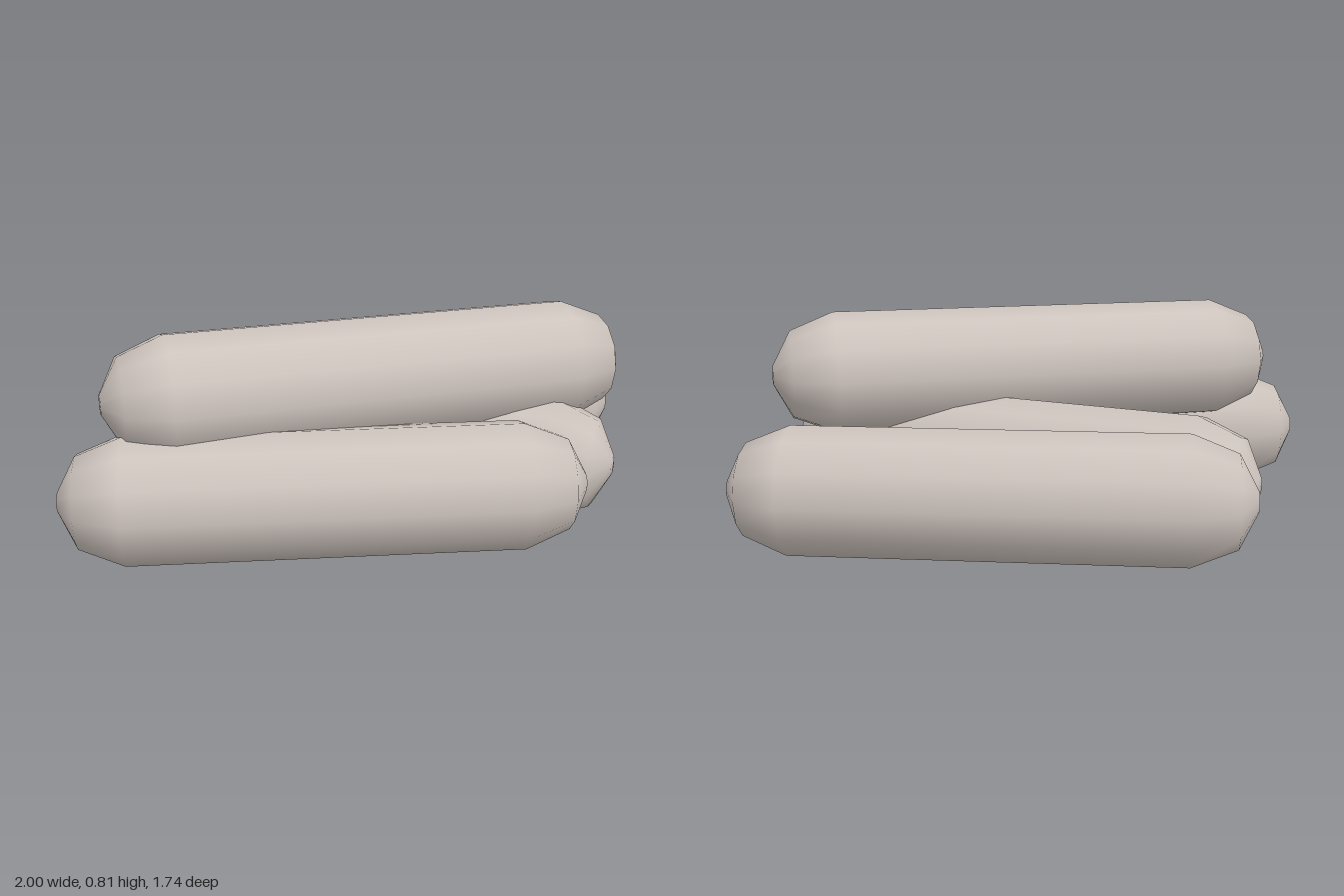
import * as THREE from 'three';

const RADIUS = 0.238;

// Rounded log lying along x: half profile turned in 12 sides
function logGeometry(length) {
  const rings = [0, 9, 46, 90]; // cap latitudes, in degrees from the pole
  const cap = rings.map((deg) => {
    const a = THREE.MathUtils.degToRad(deg);
    return new THREE.Vector2(RADIUS * Math.sin(a), -length / 2 - RADIUS * Math.cos(a));
  });
  const mirrored = cap.map((p) => new THREE.Vector2(p.x, -p.y)).reverse();
  return new THREE.LatheGeometry([...cap, ...mirrored], 12).rotateZ(-Math.PI / 2);
}

export function createModel() {
  const group = new THREE.Group();
  group.name = 'logPile';
  const paleGrey = new THREE.MeshStandardMaterial({ color: 0xcdc3bd });
  paleGrey.name = 'paleWarmGrey';

  // Cap centres of each log: x and z at both ends, and the height of the axis
  const logs = [
    { name: 'backLog', from: [-0.645, -0.5], to: [0.76, -0.635], y: 0.24 },
    { name: 'middleLog', from: [-0.65, -0.283], to: [0.75, 0.05], y: 0.255 },
    { name: 'frontLog', from: [-0.765, 0.636], to: [0.638, 0.32], y: 0.252 },
    { name: 'topLog', from: [-0.645, 0.46], to: [0.76, -0.168], y: 0.578 },
  ];

  for (const { name, from, to, y } of logs) {
    const dx = to[0] - from[0];
    const dz = to[1] - from[1];
    const log = new THREE.Mesh(logGeometry(Math.hypot(dx, dz)), paleGrey);
    log.name = name;
    log.position.set((from[0] + to[0]) / 2, y, (from[1] + to[1]) / 2);
    log.rotation.y = Math.atan2(-dz, dx);
    group.add(log);
  }
  return group;
}
